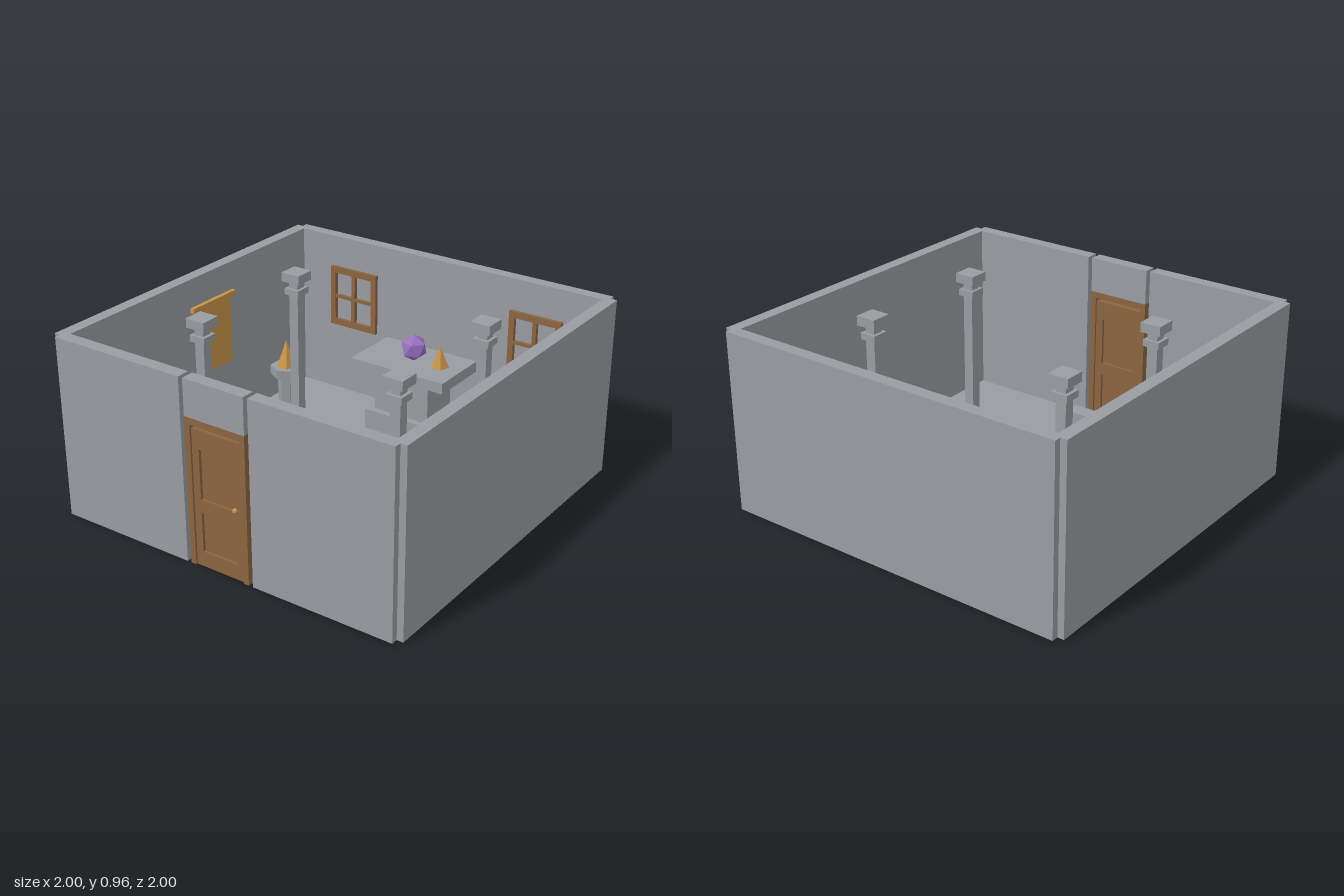
import * as THREE from 'three';

const mat = (name, color) => {
  const m = new THREE.MeshStandardMaterial({ color, flatShading: true });
  m.name = name;
  return m;
};

export function createModel() {
  const root = new THREE.Group();
  root.name = 'chamber';
  const stone = mat('stone grey', 0x999ca1);
  const wood = mat('wood brown', 0x8b6540);
  const gold = mat('gold', 0xc8944a);
  const purple = mat('crystal purple', 0x9a70c0);

  const add = (name, geo, material, parent = root) => {
    const m = new THREE.Mesh(geo, material);
    m.name = name;
    parent.add(m);
    return m;
  };
  // box given by its low and high limits on each axis
  const box = (name, material, x0, x1, y0, y1, z0, z1, parent) => {
    const g = new THREE.BoxGeometry(x1 - x0, y1 - y0, z1 - z0);
    g.translate((x0 + x1) / 2, (y0 + y1) / 2, (z0 + z1) / 2);
    return add(name, g, material, parent);
  };
  // rectangular panel with rectangular openings, extruded along z
  const panel = (name, material, [x0, x1, y0, y1], holes, z0, z1, parent) => {
    const trace = (p, [a, b, c, d]) => p.moveTo(a, c).lineTo(b, c).lineTo(b, d).lineTo(a, d).closePath();
    const shape = trace(new THREE.Shape(), [x0, x1, y0, y1]);
    holes.forEach((h) => shape.holes.push(trace(new THREE.Path(), h)));
    const g = new THREE.ExtrudeGeometry(shape, { depth: z1 - z0, bevelEnabled: false });
    g.translate(0, 0, z0);
    return add(name, g, material, parent);
  };

  // floor and walls
  const F = 0.035, H = 0.965;
  box('floor', stone, -0.965, 0.965, 0, F, -0.965, 0.96);
  box('backWall', stone, -0.965, 0.965, 0, H, -1, -0.933);
  box('rightWall', stone, -1, -0.933, 0, H, -0.965, 0.96);
  box('leftWall', stone, 0.933, 1, 0, H, -0.965, 0.96);
  box('frontWallRight', stone, -0.965, -0.198, 0, H, 0.925, 0.995);
  box('frontWallLeft', stone, 0.195, 0.965, 0, H, 0.925, 0.995);
  box('lintel', stone, -0.175, 0.172, 0.775, H, 0.925, 0.995);

  // door with frame, recessed panels and knob
  const door = new THREE.Group();
  door.name = 'door';
  root.add(door);
  box('jambRight', wood, -0.175, -0.145, 0, 0.775, 0.925, 0.995, door);
  box('jambLeft', wood, 0.142, 0.172, 0, 0.775, 0.925, 0.995, door);
  box('frameHead', wood, -0.145, 0.142, 0.74, 0.775, 0.925, 0.995, door);
  box('leafCore', wood, -0.145, 0.142, 0, 0.72, 0.95, 0.97, door);
  const recesses = [[-0.105, 0.1, 0.36, 0.62], [-0.105, 0.1, 0.08, 0.29]];
  panel('leafFront', wood, [-0.145, 0.142, 0, 0.72], recesses, 0.97, 0.985, door);
  panel('leafBack', wood, [-0.145, 0.142, 0, 0.72], recesses, 0.935, 0.95, door);
  const knob = add('knob', new THREE.IcosahedronGeometry(0.014, 1), gold, door);
  knob.position.set(0.1, 0.37, 0.988);

  // low bench by the door
  box('benchSeat', stone, -0.195, 0.19, 0.08, 0.12, 0.73, 0.822);
  for (const s of [-1, 1]) box('benchLeg', stone, s * 0.13 - 0.025, s * 0.13 + 0.025, F, 0.08, 0.745, 0.807);

  // columns with stepped bases and capitals
  const tiers = [[0.112, F, 0.08], [0.09, 0.08, 0.12], [0.056, 0.12, 0.9], [0.09, 0.825, 0.86], [0.112, 0.9, 0.95]];
  for (const x of [-0.58, 0.578]) for (const z of [-0.39, 0.38]) {
    const column = new THREE.Group();
    column.name = 'column';
    column.position.set(x, 0, z);
    root.add(column);
    tiers.forEach(([w, a, b]) => box('columnTier', stone, -w / 2, w / 2, a, b, -w / 2, w / 2, column));
  }

  // altar table
  box('altarTop', stone, -0.29, 0.285, 0.43, 0.49, -0.833, -0.485);
  box('altarBody', stone, -0.17, 0.165, 0.2, 0.43, -0.77, -0.54);
  box('altarPlinth', stone, -0.21, 0.205, F, 0.2, -0.81, -0.505);

  // faceted crystal ball, one corner upward
  const orb = new THREE.IcosahedronGeometry(0.075, 0);
  orb.rotateZ(-Math.atan(2 / (1 + Math.sqrt(5))));
  add('crystalBall', orb, purple).position.set(0, 0.563, -0.655);

  // five-sided cones
  const cone = (x, y, z, r, h) => {
    const g = new THREE.ConeGeometry(r, h, 5);
    g.rotateY(Math.PI);
    add('goldCone', g, gold).position.set(x, y + h / 2, z);
  };
  cone(0.16, 0.49, -0.662, 0.05, 0.12);

  // hexagonal pedestals
  for (const x of [-0.715, 0.713]) {
    for (const [r, a, b] of [[0.07, F, 0.08], [0.05, 0.08, 0.29], [0.092, 0.29, 0.34]])
      add('pedestalTier', new THREE.CylinderGeometry(r, r, b - a, 6), stone).position.set(x, (a + b) / 2, -0.467);
    cone(x, 0.34, -0.467, 0.056, 0.155);
  }

  // four-pane window frames on the back wall
  for (const c of [-0.577, 0.575]) {
    const holes = [];
    for (const x of [c - 0.12, c + 0.012]) for (const y of [0.475, 0.623])
      holes.push([x, x + 0.108, y, y + 0.132]);
    panel('windowFrame', wood, [c - 0.153, c + 0.153, 0.44, 0.79], holes, -0.933, -0.912);
  }

  // hanging banner on the side wall
  box('bannerRod', gold, -0.912, -0.888, 0.795, 0.82, -0.255, 0.09);
  box('banner', gold, -0.906, -0.896, 0.42, 0.795, -0.22, 0.055);

  return root;
}
